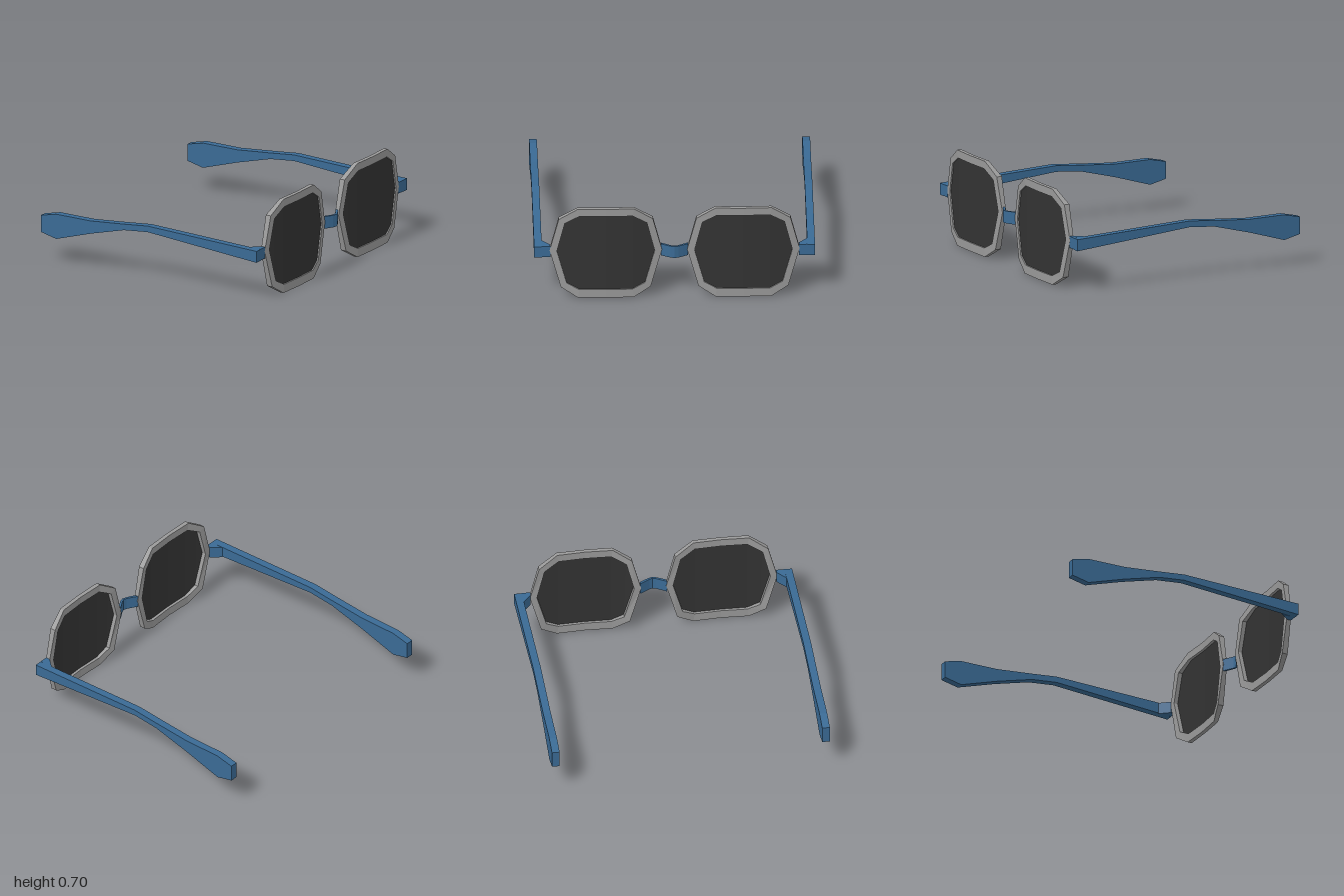
import * as THREE from 'three';

const blue = new THREE.MeshStandardMaterial({ color: 0x3a6a94, flatShading: true });
const grey = new THREE.MeshStandardMaterial({ color: 0x999999, flatShading: true });
const dark = new THREE.MeshStandardMaterial({ color: 0x333333, flatShading: true, side: THREE.DoubleSide });

// Half outlines [distance from lens centre, height], from top middle round the side to bottom middle
const outerHalf = [[0, 0.7], [0.2, 0.7], [0.335, 0.61], [0.4, 0.36], [0.32, 0.075], [0.2, 0], [0, 0]];
const innerHalf = [[0, 0.643], [0.19, 0.643], [0.295, 0.58], [0.35, 0.36], [0.28, 0.11], [0.19, 0.063], [0, 0.063]];

// Bowed front and back surfaces: x by distance from lens centre
const frontCurve = [[0, 0.926], [0.2, 0.92], [0.4, 0.888]];
const backCurve = [[0, 0.897], [0.2, 0.888], [0.32, 0.857], [0.41, 0.857]];

function lookup(curve, d) {
  d = Math.abs(d);
  let i = 1;
  while (i < curve.length - 1 && d > curve[i][0]) i++;
  const [a, b] = [curve[i - 1], curve[i]];
  return THREE.MathUtils.mapLinear(d, a[0], b[0], a[1], b[1]);
}

// Full closed outline, mirrored about the lens centre
function fullLoop(half) {
  return [...half, ...half.slice(1, -1).reverse().map(([d, y]) => [-d, y])];
}

function bend(loop, curve, offset = 0) {
  return loop.map(([d, y]) => [lookup(curve, d) + offset, y, d]);
}

function flatGeometry(points) {
  const g = new THREE.BufferGeometry();
  g.setAttribute('position', new THREE.Float32BufferAttribute(points.flat(), 3));
  g.computeVertexNormals();
  return g;
}

// Rim: four loops joined into a closed band
function rimGeometry() {
  const outer = fullLoop(outerHalf), inner = fullLoop(innerHalf);
  const rings = [bend(outer, frontCurve), bend(outer, backCurve), bend(inner, backCurve), bend(inner, frontCurve)];
  const tris = [];
  const n = outer.length;
  rings.forEach((r, k) => {
    const q = rings[(k + 1) % 4];
    for (let i = 0; i < n; i++) {
      const j = (i + 1) % n;
      tris.push(r[i], q[i], q[j], r[i], q[j], r[j]);
    }
  });
  return flatGeometry(tris);
}

// Lens: columns of quads between the upper and lower inner outline
function lensGeometry() {
  const side = bend(innerHalf, frontCurve, -0.01);
  const tris = [];
  for (const s of [1, -1]) {
    const p = side.map(([x, y, d]) => [x, y, s * d]);
    for (let i = 0; i < 3; i++) {
      const [a, b, c, d] = [p[i], p[i + 1], p[5 - i], p[6 - i]];
      if (s > 0) tris.push(a, b, c, a, c, d);
      else tris.push(a, c, b, a, d, c);
    }
  }
  return flatGeometry(tris);
}

function extrude(points, depth) {
  const shape = new THREE.Shape(points.map(([x, y]) => new THREE.Vector2(x, y)));
  return new THREE.ExtrudeGeometry(shape, { depth, bevelEnabled: false });
}

// Plan outline given as [x, z], raised between two heights
function plan(points, y0, y1) {
  return extrude(points.map(([x, z]) => [x, -z]), y1 - y0).rotateX(-Math.PI / 2).translate(0, y0, 0);
}

export function createModel() {
  const model = new THREE.Group();
  model.name = 'sunglasses';
  const add = (name, geometry, material) => {
    const mesh = new THREE.Mesh(geometry, material);
    mesh.name = name;
    model.add(mesh);
    return mesh;
  };

  // Side profile of an arm, ear end at -x
  const armProfile = [
    [0.888, 0.305], [0.888, 0.39], [-0.03, 0.42], [-0.23, 0.4], [-0.51, 0.375], [-0.8, 0.375],
    [-0.93, 0.345], [-0.93, 0.22], [-0.8, 0.19], [-0.51, 0.28], [-0.23, 0.355], [-0.03, 0.375],
  ];
  const hingePlan = [[0.785, 0.946], [0.857, 0.885], [0.888, 0.885], [0.888, 0.946]];
  const rim = rimGeometry(), lens = lensGeometry();

  for (const s of [1, -1]) {
    const label = s > 0 ? 'Near' : 'Far';
    add('rim' + label, rim, grey).position.z = s * 0.49;
    add('lens' + label, lens, dark).position.z = s * 0.49;
    add('arm' + label, extrude(armProfile, 0.055).translate(0, 0, s > 0 ? 0.945 : -1), blue);
    add('hinge' + label, plan(hingePlan.map(([x, z]) => [x, s * z]), 0.307, 0.391), blue);
  }

  // Bridge: thin strip arching forward between the rims
  const half = [[0.88, 0.095], [0.902, 0.058], [0.918, 0.028]];
  const front = [...half, [0.926, 0], ...half.map(([x, z]) => [x, -z]).reverse()];
  const backHalf = [[0.859, 0.095], [0.886, 0.052], [0.903, 0.024]];
  const back = [...backHalf, [0.911, 0], ...backHalf.map(([x, z]) => [x, -z]).reverse()];
  add('bridge', plan([...front, ...back.reverse()], 0.31, 0.4), blue);

  return model;
}
